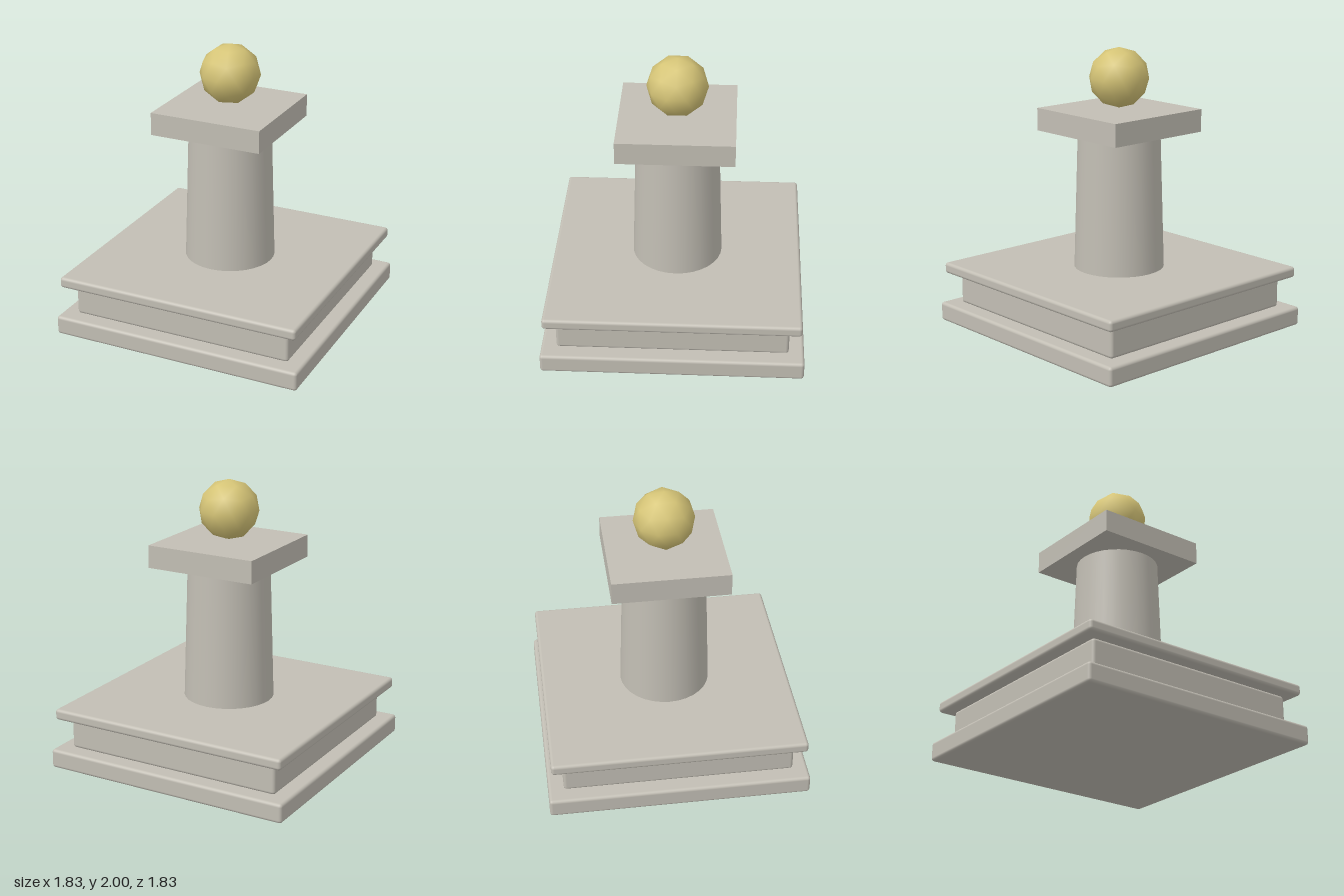
import * as THREE from 'three';
import { RoundedBoxGeometry } from 'three/addons/geometries/RoundedBoxGeometry.js';

export function createModel() {
  const model = new THREE.Group();
  model.name = 'pedestal';

  const stone = new THREE.MeshStandardMaterial({ color: 0xc2beb4 });
  stone.name = 'stone';
  const gold = new THREE.MeshStandardMaterial({ color: 0xd6c577 });
  gold.name = 'pale gold';

  const add = (name, geometry, material, y) => {
    const mesh = new THREE.Mesh(geometry, material);
    mesh.name = name;
    mesh.position.y = y;
    model.add(mesh);
    return mesh;
  };

  // Stepped base: three bevelled slabs as [name, half width, bottom, top]
  const slabs = [
    ['baseSlab', 0.915, 0, 0.136],
    ['middleSlab', 0.807, 0.136, 0.356],
    ['upperSlab', 0.89, 0.356, 0.434],
  ];
  for (const [name, half, bottom, top] of slabs) {
    const geometry = new RoundedBoxGeometry(half * 2, top - bottom, half * 2, 3, 0.022);
    add(name, geometry, stone, (bottom + top) / 2);
  }

  // Tapered round column
  add('column', new THREE.CylinderGeometry(0.29, 0.32, 0.98, 32), stone, 0.92);

  // Sharp-edged square capital
  add('capital', new THREE.BoxGeometry(0.81, 0.16, 0.81), stone, 1.488);

  // Faceted ball, turned so that one vertex points straight up
  const ball = new THREE.IcosahedronGeometry(0.2125, 1);
  ball.rotateZ(-Math.atan(2 / (1 + Math.sqrt(5))));
  add('ball', ball, gold, 1.7875);

  return model;
}
